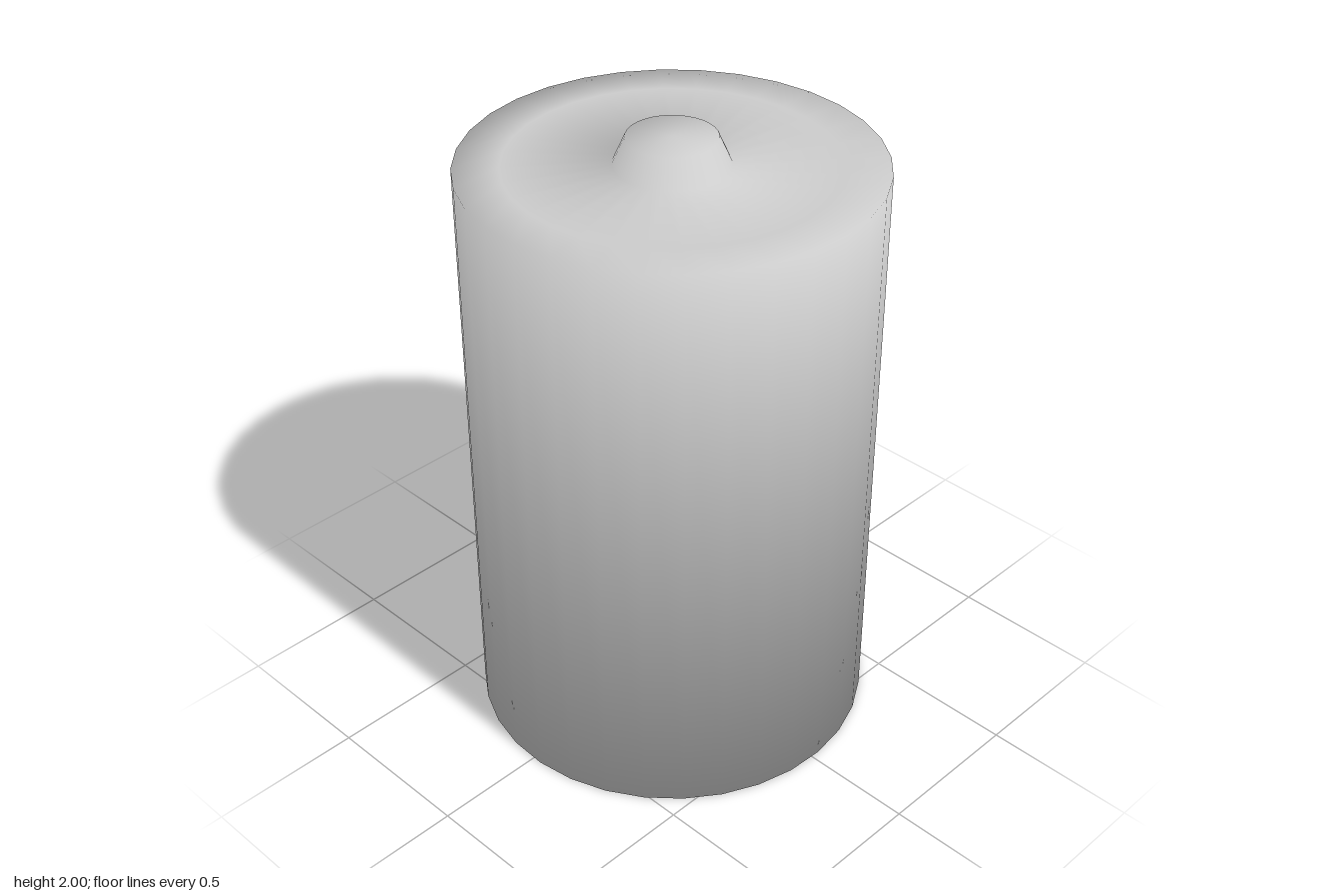
import * as THREE from 'three';

const SIDES = 32;
const START = Math.PI / SIDES / 2; // small twist of the facets about the axis

// Outline from the underside centre, round the can, to the tip of the terminal: [radius, height]
const outline = [
  [0, 0.1], [0.14, 0.1], [0.24, 0],
  [0.5, 0], [0.637, 0],
  [0.637, 1.914], [0.5, 1.914],
  [0.175, 1.914], [0.137, 2], [0, 2],
].map(([r, y]) => new THREE.Vector2(r, y));

// Evenly averaged normals, so shading rolls softly over every edge
const segmentNormal = (i) => {
  const d = outline[i + 1].clone().sub(outline[i]).normalize();
  return new THREE.Vector2(d.y, -d.x);
};
const normals = outline.map((_, i) => {
  const n = new THREE.Vector2();
  if (i > 0) n.add(segmentNormal(i - 1));
  if (i < outline.length - 1) n.add(segmentNormal(i));
  return n.normalize();
});
normals[0].set(0, -1);
normals[normals.length - 1].set(0, 1);

// Revolve one stretch of the outline, sharing normals with its neighbours
function revolve(name, from, to, material) {
  const points = outline.slice(from, to + 1);
  const geometry = new THREE.LatheGeometry(points, SIDES, START, Math.PI * 2);
  const normal = geometry.attributes.normal;
  for (let s = 0, k = 0; s <= SIDES; s++) {
    const a = START + (s / SIDES) * Math.PI * 2;
    for (let j = from; j <= to; j++, k++) {
      const n = normals[j];
      normal.setXYZ(k, n.x * Math.sin(a), n.y, n.x * Math.cos(a));
    }
  }
  const mesh = new THREE.Mesh(geometry, material);
  mesh.name = name;
  return mesh;
}

export function createModel() {
  const group = new THREE.Group();
  group.name = 'battery';
  const material = new THREE.MeshStandardMaterial({ color: 0xcccccc });
  group.add(
    revolve('bottomRecess', 0, 2, material),
    revolve('bottomFace', 2, 4, material),
    revolve('casing', 4, 5, material),
    revolve('topFace', 5, 7, material),
    revolve('terminal', 7, 9, material),
  );
  return group;
}
